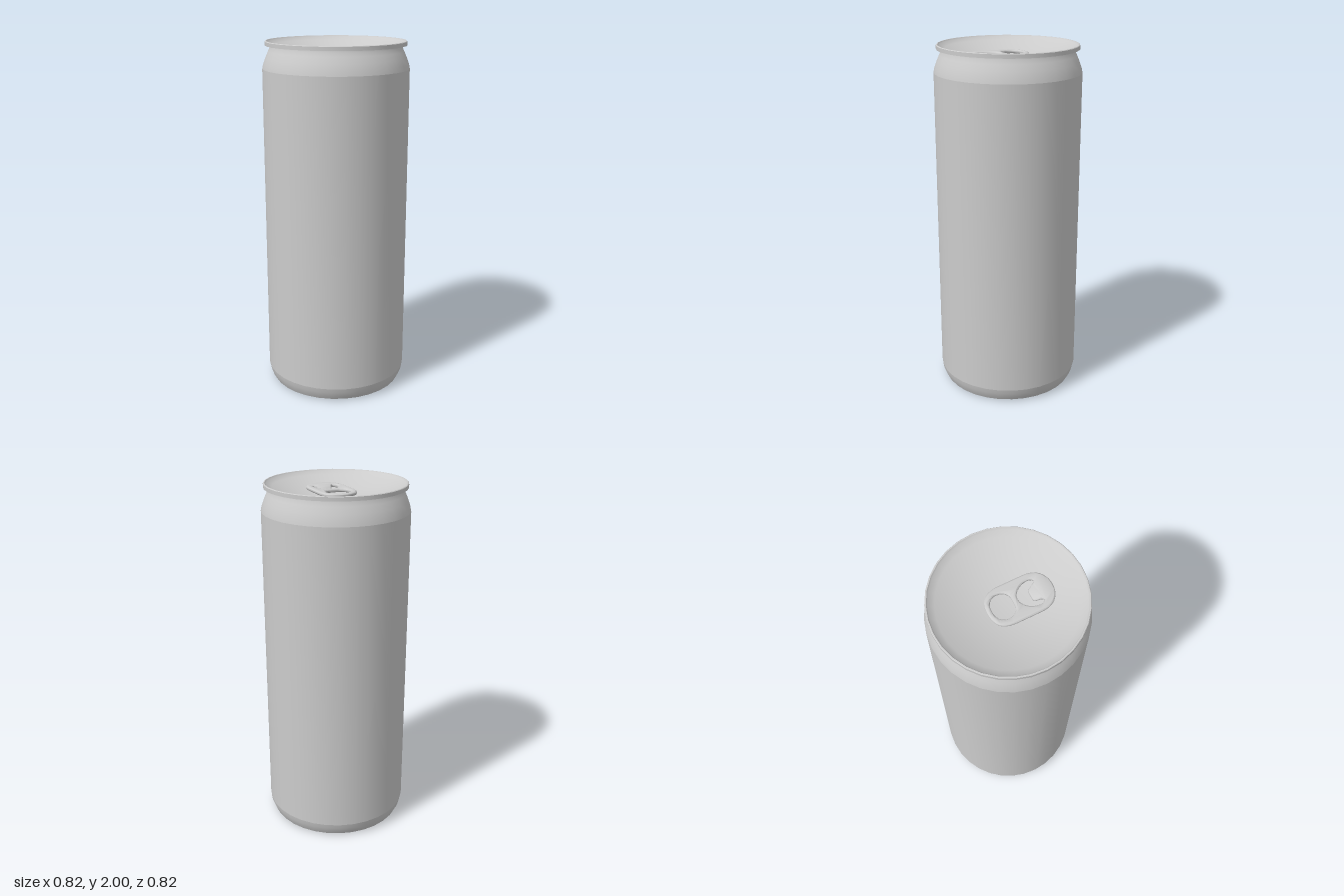
import * as THREE from 'three';
import { mergeVertices, toCreasedNormals } from 'three/addons/utils/BufferGeometryUtils.js';

const SIDES = 32;

export function createModel() {
  const can = new THREE.Group();
  can.name = 'drinkCan';
  const material = new THREE.MeshStandardMaterial({ color: 0xcccccc, roughness: 0.6 });

  const add = (name, geometry) => {
    const mesh = new THREE.Mesh(geometry, material);
    mesh.name = name;
    can.add(mesh);
    return mesh;
  };
  const turned = (name, profile) => {
    const points = profile.map(([r, y]) => new THREE.Vector2(r, y));
    return add(name, toCreasedNormals(new THREE.LatheGeometry(points, SIDES), 0.6));
  };

  // Shell: base, straight wall and tapering neck
  turned('base', [[0, 0], [0.365, 0], [0.382, 0.006], [0.392, 0.025], [0.403, 0.055], [0.408, 0.08]]);
  turned('wall', [[0.408, 0.08], [0.408, 1.85]]);
  turned('neck', [[0.408, 1.85], [0.403, 1.875], [0.39, 1.91], [0.375, 1.945], [0.365, 1.965], [0.363, 1.977]]);

  // Lid: flanged rim running into a shallow dish
  const dishRadius = 0.378, dishLow = 1.905, dishHigh = 1.992;
  const dishY = (r) => dishLow + (dishHigh - dishLow) * (r / dishRadius) ** 2;
  const lid = [[0.36, 1.976], [0.392, 1.976], [0.392, 1.997], [0.389, 2], [0.384, 2]];
  for (let i = 12; i >= 0; i--) {
    const r = (dishRadius * i) / 12;
    lid.push([r, dishY(r)]);
  }
  turned('lid', lid);

  // Pull tab outline, drawn with shape y running towards the front
  const tab = new THREE.Shape();
  tab.moveTo(0.105, 0.0);
  tab.lineTo(0.105, 0.13);
  tab.bezierCurveTo(0.105, 0.2, 0.06, 0.238, 0, 0.238);
  tab.bezierCurveTo(-0.06, 0.238, -0.105, 0.2, -0.105, 0.13);
  tab.lineTo(-0.105, 0.0);
  tab.bezierCurveTo(-0.105, -0.08, -0.07, -0.11, 0, -0.11);
  tab.bezierCurveTo(0.07, -0.11, 0.105, -0.08, 0.105, 0.0);

  // Finger hole
  const finger = new THREE.Path();
  finger.moveTo(0.068, -0.03);
  finger.bezierCurveTo(0.068, 0.005, 0.045, 0.026, 0.02, 0.026);
  finger.lineTo(-0.02, 0.026);
  finger.bezierCurveTo(-0.045, 0.026, -0.068, 0.005, -0.068, -0.03);
  finger.bezierCurveTo(-0.068, -0.065, -0.04, -0.086, 0, -0.086);
  finger.bezierCurveTo(0.04, -0.086, 0.068, -0.065, 0.068, -0.03);

  // Arched slot around the fixing tongue
  const slot = new THREE.Path();
  slot.moveTo(0.056, 0.165);
  slot.bezierCurveTo(0.09, 0.15, 0.06, 0.052, 0, 0.052);
  slot.bezierCurveTo(-0.06, 0.052, -0.09, 0.15, -0.056, 0.165);
  slot.bezierCurveTo(-0.04, 0.16, -0.04, 0.119, -0.02, 0.119);
  slot.lineTo(0.02, 0.119);
  slot.bezierCurveTo(0.04, 0.119, 0.04, 0.16, 0.056, 0.165);
  tab.holes.push(finger, slot);

  const bevel = 0.008;
  let geometry = new THREE.ExtrudeGeometry(tab, {
    depth: 0.004, bevelThickness: bevel, bevelSize: bevel, bevelOffset: -bevel,
    bevelSegments: 4, curveSegments: 10,
  });
  geometry.rotateX(Math.PI / 2);
  geometry.translate(0, 1.955 - bevel, 0);

  // Bend the tongue down until it meets the dish
  const p = geometry.attributes.position;
  for (let i = 0; i < p.count; i++) {
    const x = Math.abs(p.getX(i)), z = p.getZ(i);
    if (x < 0.05 && z > 0.105 && z < 0.165) {
      p.setY(i, p.getY(i) - 0.022 * THREE.MathUtils.smoothstep(0.165 - z, 0, 0.045));
    }
  }
  geometry.deleteAttribute('normal');
  geometry.deleteAttribute('uv');
  geometry = mergeVertices(geometry, 1e-5);
  add('pullTab', toCreasedNormals(geometry, 0.9));

  return can;
}
